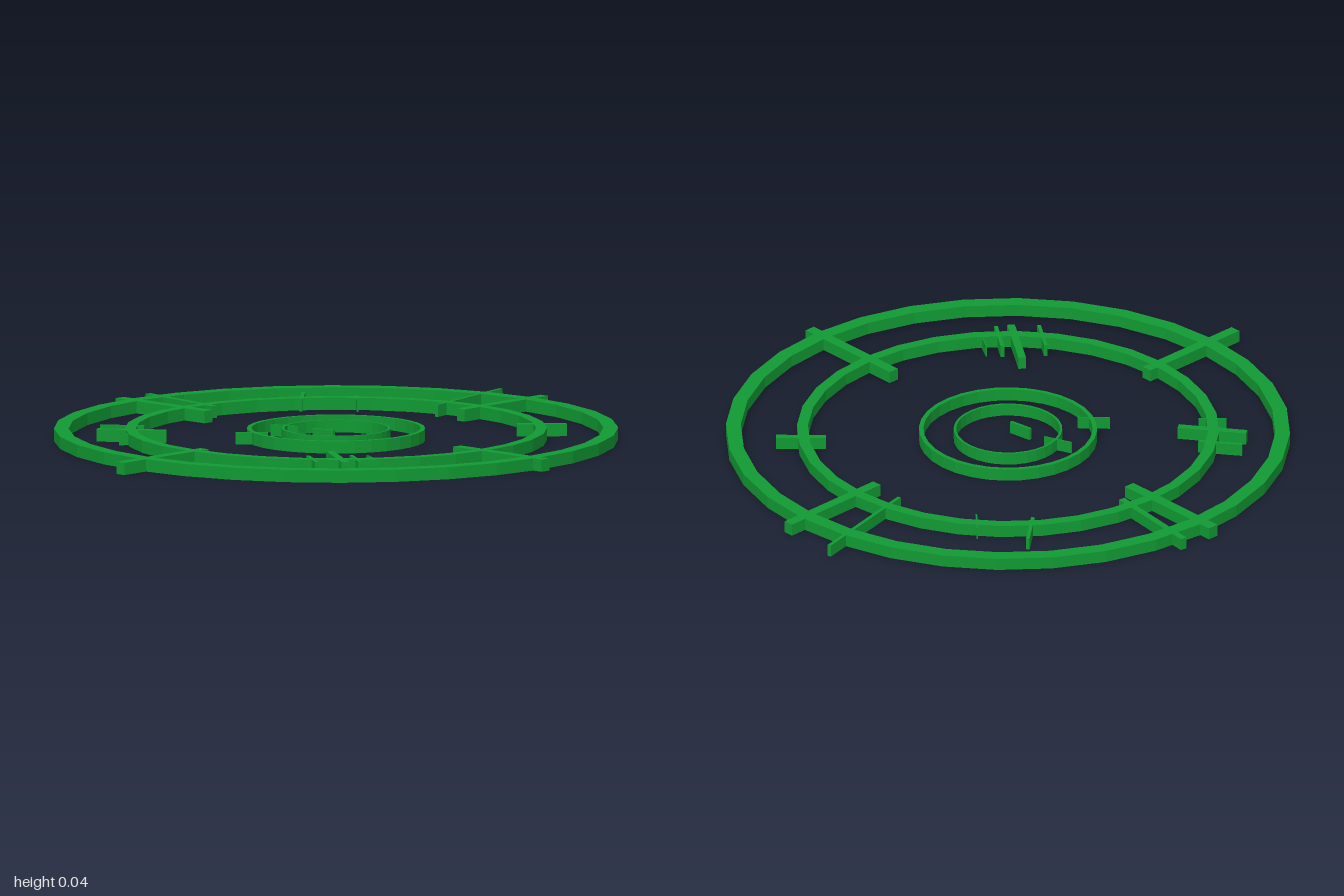
import * as THREE from 'three';

const HEIGHT = 0.04;
const material = new THREE.MeshStandardMaterial({ color: 0x119933, flatShading: true });

// Flat ring with a rectangular section
function ring(name, outer, width, segments) {
  const inner = outer - width;
  const profile = [[inner, 0], [outer, 0], [outer, HEIGHT], [inner, HEIGHT], [inner, 0]]
    .map(([r, y]) => new THREE.Vector2(r, y));
  const mesh = new THREE.Mesh(new THREE.LatheGeometry(profile, segments), material);
  mesh.name = name;
  mesh.position.x = 0.014;
  return mesh;
}

// Bar lying between two points on the ground plane
function bar(name, x1, z1, x2, z2, width) {
  const dx = x2 - x1, dz = z2 - z1;
  const mesh = new THREE.Mesh(new THREE.BoxGeometry(Math.hypot(dx, dz), HEIGHT, width), material);
  mesh.name = name;
  mesh.position.set((x1 + x2) / 2, HEIGHT / 2, (z1 + z2) / 2);
  mesh.rotation.y = Math.atan2(-dz, dx);
  return mesh;
}

export function createModel() {
  const group = new THREE.Group();
  group.name = 'ringDial';

  // Concentric rings
  group.add(
    ring('outerRing', 0.914, 0.048, 32),
    ring('middleRing', 0.684, 0.036, 32),
    ring('innerRing', 0.289, 0.015, 32),
    ring('centreRing', 0.176, 0.008, 32),
  );

  // Four main bars crossing the two large rings
  group.add(
    bar('backBar', -0.006, -0.955, -0.006, -0.555, 0.038),
    bar('frontBar', 0.008, 0.55, 0.008, 0.95, 0.036),
    bar('rightBar', -1, 0.01, -0.6, 0.002, 0.036),
    bar('leftBar', 0.585, 0.009, 0.985, -0.001, 0.034),
  );

  // Thin bars across the large rings
  group.add(
    bar('backThinBar', 0.12, -0.95, 0.078, -0.61, 0.022),
    bar('leftThinBar', 0.598, -0.112, 0.994, -0.205, 0.012),
  );

  // Short ticks across the middle ring: x1, z1, x2, z2, width
  [
    [0.377, -0.51, 0.49, -0.607, 0.012],
    [0.497, -0.37, 0.56, -0.442, 0.005],
    [-0.537, -0.543, -0.402, -0.362, 0.026],
    [-0.468, -0.596, -0.38, -0.482, 0.012],
    [-0.553, -0.43, -0.488, -0.366, 0.004],
    [0.484, 0.36, 0.602, 0.47, 0.024],
    [-0.357, 0.332, -0.488, 0.527, 0.025],
    [-0.473, 0.345, -0.553, 0.463, 0.012],
    [-0.366, 0.436, -0.446, 0.553, 0.012],
    [-0.33, 0.474, -0.358, 0.522, 0.004],
  ].forEach((t) => group.add(bar('middleTick', ...t)));

  // Ticks near the centre
  group.add(
    bar('innerTick', -0.28, -0.168, -0.206, -0.094, 0.004),
    bar('centreTick', -0.072, -0.21, -0.035, -0.12, 0.004),
    bar('centreMark', -0.039, -0.05, -0.027, 0.03, 0.011),
  );
  return group;
}
